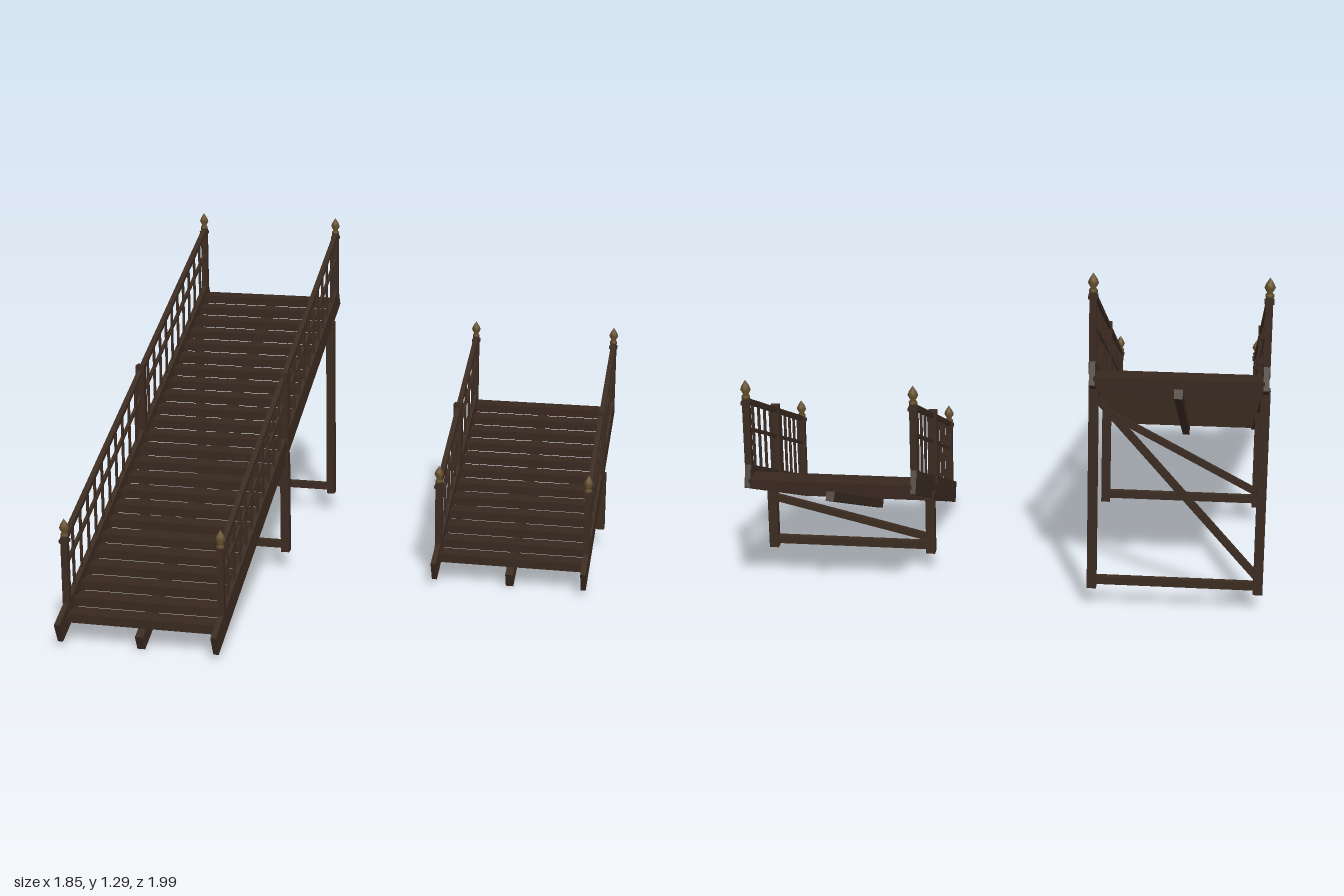
import * as THREE from 'three';

const wood = new THREE.MeshStandardMaterial({ color: 0x3b2b21 });
wood.name = 'dark wood';
const plank = new THREE.MeshStandardMaterial({ color: 0x38281e });
plank.name = 'tread wood';
const brass = new THREE.MeshStandardMaterial({ color: 0x66502c });
brass.name = 'aged brass';

const SLOPE = 0.45;
const HALF = 0.297; // half the distance between the two sides

function add(parent, name, geometry, material, x, y, z) {
  const mesh = new THREE.Mesh(geometry, material);
  mesh.name = name;
  mesh.position.set(x, y, z);
  parent.add(mesh);
  return mesh;
}

function box(parent, name, w, h, d, x, y, z, material = wood) {
  return add(parent, name, new THREE.BoxGeometry(w, h, d), material, x, y, z);
}

// Straight timber climbing towards -z from (y0, z0) to (y1, z1)
function slopedBeam(parent, name, x, w, h, y0, z0, y1, z1) {
  const beam = box(parent, name, w, h, Math.hypot(y1 - y0, z1 - z0), x, (y0 + y1) / 2, (z0 + z1) / 2);
  beam.rotation.x = Math.atan2(y1 - y0, z0 - z1);
}

function vertical(parent, name, w, x, y0, y1, z) {
  box(parent, name, w, y1 - y0, w, x, (y0 + y1) / 2, z);
}

// Pointed bulb on a narrow neck
const finialShape = new THREE.LatheGeometry(
  [[0, 0], [0.015, 0], [0.015, 0.01], [0.009, 0.016], [0.019, 0.034], [0.014, 0.048], [0, 0.07]]
    .map(([r, y]) => new THREE.Vector2(r, y)), 8);

function endPost(parent, x, z, bottom, top) {
  vertical(parent, 'endPost', 0.025, x, bottom, top - 0.07, z);
  box(parent, 'postCollar', 0.033, 0.012, 0.033, x, top - 0.085, z);
  add(parent, 'finial', finialShape, brass, x, top - 0.07, z);
}

// Pair of legs joined by a low rail and one diagonal brace
function trestle(parent, z, top) {
  const frame = new THREE.Group();
  frame.name = 'trestle';
  parent.add(frame);
  for (const side of [-1, 1]) vertical(frame, 'leg', 0.034, side * (HALF + 0.002), 0.08, top, z);
  box(frame, 'crossRail', 2 * HALF, 0.03, 0.022, 0, 0.11, z);
  const rise = top - 0.04 - 0.14;
  const brace = box(frame, 'diagonalBrace', Math.hypot(2 * HALF, rise), 0.026, 0.018, 0, 0.14 + rise / 2, z);
  brace.rotation.z = Math.atan2(rise, 2 * HALF);
}

// One flight; front is the z of its foremost corner, its rear is always near z = -1
function flight(name, x, front, steps, midZ, legs) {
  const g = new THREE.Group();
  g.name = name;
  g.position.x = x;
  const climb = (z) => (front - z) * SLOPE;

  // Treads
  const z0 = front - 0.085;
  const depth = (z0 + 0.985) / steps;
  const rise = depth * SLOPE;
  for (let i = 0; i < steps; i++) {
    box(g, 'tread', 2 * HALF - 0.01, rise - 0.002, depth, 0,
      0.08 + (i + 0.5) * rise, z0 - (i + 0.5) * depth, plank);
  }

  // Side stringers and centre bearer
  for (const side of [-1, 1]) {
    slopedBeam(g, 'sideStringer', side * HALF, 0.02, 0.083, 0.0625, front - 0.0175,
      0.0625 + climb(-0.975) - 0.0175 * SLOPE, -0.975);
  }
  const bz = front - 0.063;
  slopedBeam(g, 'centreBearer', 0, 0.03, 0.06, 0.032, bz, 0.032 + (bz + 0.98) * SLOPE, -0.98);

  // Railings
  const frontZ = front - 0.117;
  const rearZ = -0.945;
  for (const side of [-1, 1]) {
    const rail = new THREE.Group();
    rail.name = side < 0 ? 'rightRailing' : 'leftRailing';
    g.add(rail);
    const px = side * HALF;
    for (const z of [frontZ, rearZ]) endPost(rail, px, z, 0.06 + climb(z), 0.42 + climb(z));
    vertical(rail, 'middlePost', 0.033, side * (HALF + 0.002), 0.07 + climb(midZ), 0.362 + climb(midZ), midZ);
    slopedBeam(rail, 'handrail', px, 0.02, 0.018, 0.342 + climb(frontZ), frontZ, 0.342 + climb(rearZ), rearZ);
    slopedBeam(rail, 'middleRail', px, 0.012, 0.012, 0.238 + climb(frontZ), frontZ, 0.238 + climb(rearZ), rearZ);
    for (const [a, b] of [[frontZ, midZ], [midZ, rearZ]]) {
      const n = Math.round((a - b) / 0.08);
      for (let i = 1; i < n; i++) {
        const z = a + (b - a) * i / n;
        vertical(rail, 'baluster', 0.009, px, 0.08 + climb(z), 0.342 + climb(z), z);
      }
    }
  }

  for (const z of legs) trestle(g, z, 0.03 + climb(z));
  return g;
}

export function createModel() {
  const model = new THREE.Group();
  model.name = 'woodenStairs';
  model.add(flight('longFlight', -0.61, 1.0, 24, -0.035, [-0.035, -0.84]));
  model.add(flight('shortFlight', 0.61, 0.05, 12, -0.51, [-0.6]));
  return model;
}
